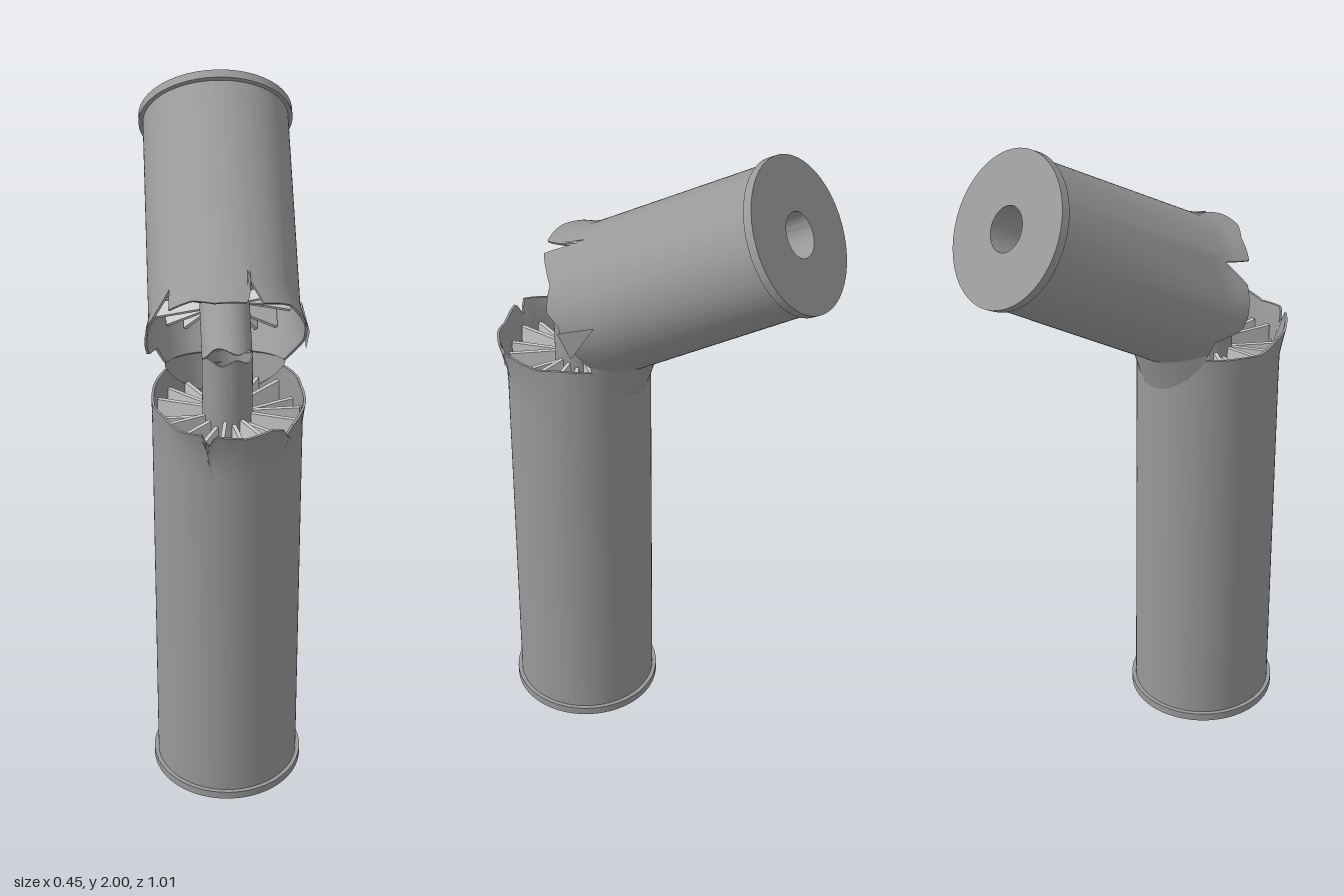
import * as THREE from 'three';
import { toCreasedNormals } from 'three/addons/utils/BufferGeometryUtils.js';

const R = 0.207, CORE = 0.069, CAP = 0.219, WALL = 0.007;
const mat = new THREE.MeshStandardMaterial({ color: 0x999999, side: THREE.DoubleSide });
const finMat = new THREE.MeshStandardMaterial({ color: 0xcccccc });
const rad = THREE.MathUtils.degToRad;
const smoothstep = THREE.MathUtils.smoothstep;

function add(parent, name, geometry, material = mat) {
  const mesh = new THREE.Mesh(geometry, material);
  mesh.name = name;
  parent.add(mesh);
  return mesh;
}

// Surface through a grid of points: fn(i, j) gives a Vector3
function gridSurface(nu, nv, fn) {
  const pos = [], idx = [];
  for (let i = 0; i <= nu; i++) for (let j = 0; j <= nv; j++) pos.push(...fn(i, j).toArray());
  for (let i = 0; i < nu; i++) for (let j = 0; j < nv; j++) {
    const a = i * (nv + 1) + j, b = a + nv + 1;
    idx.push(a, b, a + 1, b, b + 1, a + 1);
  }
  const g = new THREE.BufferGeometry();
  g.setAttribute('position', new THREE.Float32BufferAttribute(pos, 3));
  g.setIndex(idx);
  return toCreasedNormals(g, 0.6);
}

// Piecewise linear lookup in [angle, value] pairs
function lookup(table, a) {
  for (let i = 1; i < table.length; i++) {
    const [a0, v0] = table[i - 1], [a1, v1] = table[i];
    if (a <= a1) return v0 + (v1 - v0) * (a - a0) / (a1 - a0);
  }
  return table[table.length - 1][1];
}

// Point on a tube: angle 0 is the open side of the break, f its direction in z
const polar = (deg, r, y, f) => new THREE.Vector3(r * Math.sin(rad(deg)), y, f * r * Math.cos(rad(deg)));

// Thin-walled tube with a torn upper edge
function tornTube(radius, y0, edge, f, flare = () => 0, wall = WALL) {
  const fractions = [0, 0.88, 0.94, 1];
  return gridSurface(180, 7, (i, j) => {
    const deg = -180 + i * 2, inner = j > 3;
    const y = y0 + (edge(deg) - y0) * fractions[inner ? 7 - j : j];
    return polar(deg, radius + flare(deg, y) - (inner ? wall : 0), y, f);
  });
}

// Small torn flap bent off the skin, from two rim points to a tip; each point is [angle, radius, y]
function flap(parent, f, a, b, tip) {
  const [p, q, t] = [a, b, tip].map(v => polar(...v, f));
  add(parent, 'tornFlap', gridSurface(1, 1, (i, j) => (j ? t : i ? q : p).clone()));
}

// End cap, core pipe and radial fins shared by both halves
function addInside(parent, f, capTilt, finTop, coreTop) {
  const profile = [[0.064, 0], [CAP, 0], [CAP, 0.025], [0.064, 0.025], [0.064, 0]];
  const cap = add(parent, 'endCap', toCreasedNormals(
    new THREE.LatheGeometry(profile.map(p => new THREE.Vector2(...p)), 48), 0.6));
  cap.rotation.x = rad(capTilt);
  add(parent, 'corePipe', tornTube(CORE, 0.005, coreTop, f, undefined, 0.005));
  for (let k = 0; k < 18; k++) {
    const deg = 12 + 20 * k, h = finTop + 0.012 * Math.sin(k * 2.3);
    const fin = add(parent, 'radialFin', new THREE.BoxGeometry(0.011, h - 0.02, 0.134), finMat);
    fin.position.copy(polar(deg, 0.132, (h + 0.02) / 2, f));
    fin.rotation.y = f * rad(deg);
  }
}

export function createModel() {
  const model = new THREE.Group();
  model.name = 'brokenTube';

  // Lower half, standing, its rim torn and splayed at the front
  const lower = new THREE.Group();
  lower.name = 'lowerHalf';
  lower.position.set(-0.007, 0, 0.273);
  model.add(lower);
  const lowerRim = [[-127, 1.3], [-100, 1.295], [-80, 1.285], [-60, 1.3], [-38, 1.29], [-20, 1.305],
    [-16, 1.265], [-11, 1.305], [10, 1.29], [28, 1.305], [38, 1.29], [43, 1.255], [48, 1.285],
    [60, 1.3], [85, 1.295], [105, 1.305], [127, 1.3]];
  const splay = [[-180, 0], [-95, 0], [-55, 0.008], [-17, 0.03], [5, 0.02], [38, 0.028],
    [60, 0.02], [95, 0], [180, 0]];
  const lowerHinge = t => 1.165 + 0.135 * t * t;
  const lowerEdge = d => Math.abs(d) > 127 ? lowerHinge((180 - Math.abs(d)) / 53) : lookup(lowerRim, d);
  const lowerFlare = (d, y) => lookup(splay, d) * smoothstep(y, 1.2, 1.31);
  add(lower, 'lowerShell', tornTube(R, 0.02, lowerEdge, 1, lowerFlare));
  addInside(lower, 1, 0, 1.235, d => 1.415 + 0.015 * Math.cos(rad(d)) + 0.008 * Math.sin(rad(d * 5)));
  flap(lower, 1, [36, 0.222, 1.29], [44, 0.215, 1.26], [47, 0.225, 1.24]);
  flap(lower, 1, [-22, 0.23, 1.3], [-15, 0.218, 1.265], [-16, 0.228, 1.245]);

  // Upper half, folded backwards; its local y runs from the cap to the break
  const upper = new THREE.Group();
  upper.name = 'upperHalf';
  upper.position.set(-0.007, 1.808, -0.394);
  upper.rotation.x = rad(122);
  model.add(upper);
  const upperRim = [[-127, 0.722], [-112, 0.7], [-95, 0.745], [-85, 0.74], [-62, 0.7], [-48, 0.63],
    [-44, 0.705], [-25, 0.7], [-10, 0.72], [13, 0.72], [18, 0.645], [24, 0.715], [38, 0.7],
    [50, 0.69], [68, 0.715], [80, 0.7], [92, 0.715], [108, 0.715], [127, 0.722]];
  const upperHinge = t => 0.643 + 0.079 * t * t;
  const upperEdge = d => Math.abs(d) > 127 ? upperHinge((180 - Math.abs(d)) / 53) : lookup(upperRim, d);
  // Open side curls outwards, hinge side sags towards the lower half
  const upperFlare = (d, y) =>
    0.026 * smoothstep(y, 0.62, 0.73) * smoothstep(-Math.abs(d), -122, -60) +
    0.028 * y * smoothstep(Math.abs(d), 110, 180);
  add(upper, 'upperShell', tornTube(R, 0.02, upperEdge, -1, upperFlare));
  addInside(upper, -1, -2, 0.605, d => 0.765 + 0.02 * Math.cos(rad(d)) + 0.01 * Math.sin(rad(d * 4)));
  flap(upper, -1, [84, 0.228, 0.71], [106, 0.23, 0.72], [90, 0.211, 0.6]);

  // Bent skin still joining the halves at the back
  lower.updateMatrix();
  upper.updateMatrix();
  const rows = 4;
  add(model, 'hingeSkin', gridSurface(40, rows, (i, j) => {
    const t = -1 + i / 20, deg = 180 + 53 * t, s = upperHinge(t);
    const a = polar(deg, R, lowerHinge(t), 1).applyMatrix4(lower.matrix);
    const b = polar(deg, R + upperFlare(180 - 53 * Math.abs(t), s), s, -1).applyMatrix4(upper.matrix);
    return a.lerp(b, j / rows);
  }));
  return model;
}
